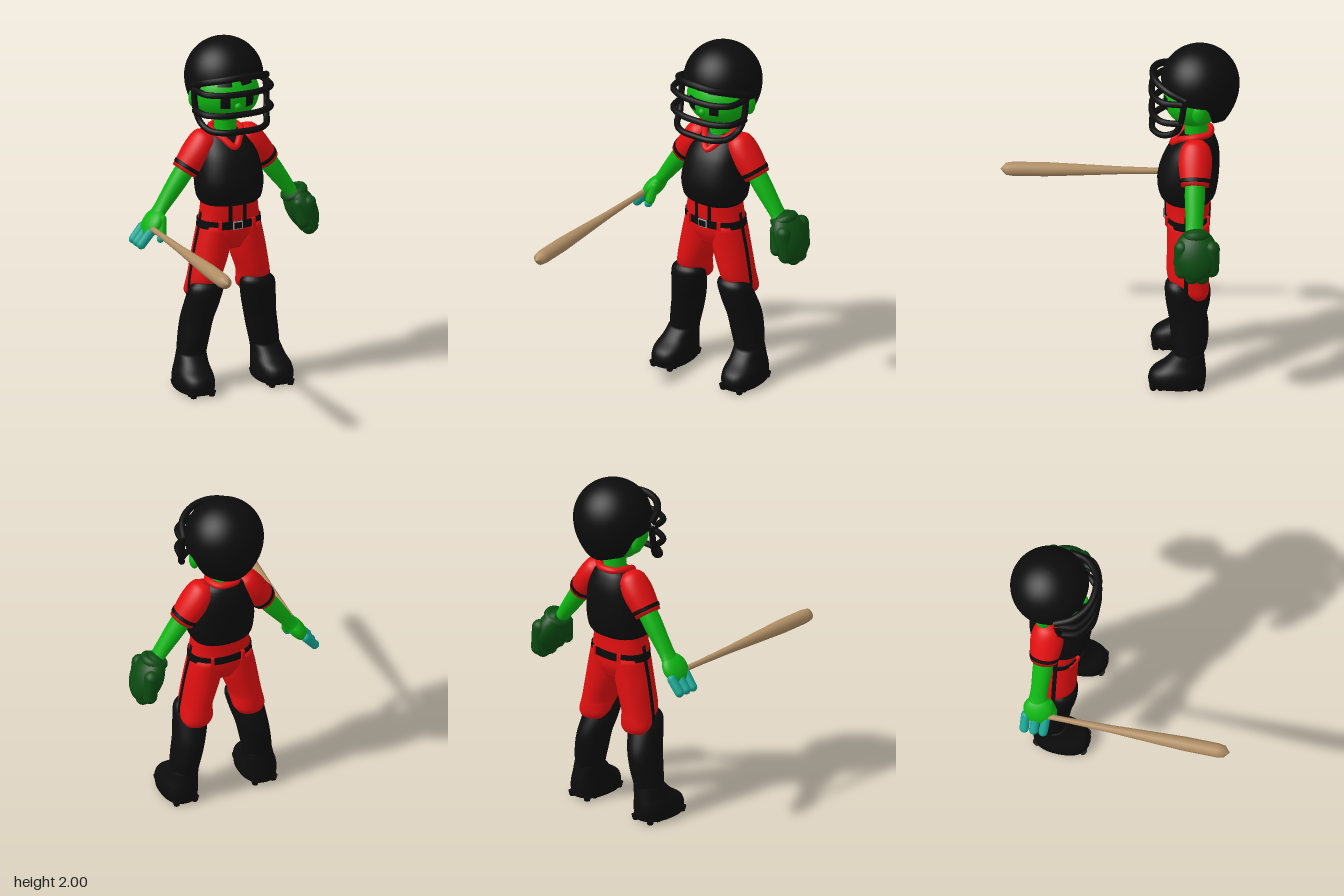
import * as THREE from 'three';

const mat = (name, color, side = THREE.FrontSide) => {
  const m = new THREE.MeshStandardMaterial({ color, side });
  m.name = name;
  return m;
};
const V = (x, y, z) => new THREE.Vector3(x, y, z);

export function createModel() {
  const black = mat('black', 0x0c0c0c), shell = mat('black', 0x0c0c0c, THREE.DoubleSide);
  shell.name = 'helmetBlack';
  const red = mat('red', 0xe00f10), green = mat('green', 0x0db512), gloveGreen = mat('gloveGreen', 0x0b4a11);
  const teal = mat('teal', 0x16a391), wood = mat('wood', 0xb08e64), silver = mat('silver', 0xa0a0a0);

  const root = new THREE.Group();
  const body = new THREE.Group();
  body.name = 'player';
  body.position.x = -0.015;
  root.add(body);

  const add = (parent, name, geo, material, p = [0, 0, 0]) => {
    const m = new THREE.Mesh(geo, material);
    m.name = name;
    m.position.set(...p);
    parent.add(m);
    return m;
  };

  // Closed-around surface from rings, listed top to bottom
  const grid = (fn, nu, nv) => {
    const pos = [], idx = [];
    for (let i = 0; i <= nu; i++)
      for (let j = 0; j < nv; j++) pos.push(...fn(i, (j / nv) * Math.PI * 2));
    for (let i = 0; i < nu; i++)
      for (let j = 0; j < nv; j++) {
        const a = i * nv + j, b = i * nv + (j + 1) % nv;
        idx.push(a, b, a + nv, b, b + nv, a + nv);
      }
    const g = new THREE.BufferGeometry();
    g.setAttribute('position', new THREE.Float32BufferAttribute(pos, 3));
    g.setIndex(idx);
    g.computeVertexNormals();
    return g;
  };

  // Rings: [y, cx, cz, rx, rz]; e < 1 makes the section boxier
  const loft = (rings, e = 1, nv = 32) => {
    const centre = new THREE.CatmullRomCurve3(rings.map(r => V(r[1], r[0], r[2])), false, 'catmullrom');
    const radius = new THREE.CatmullRomCurve3(rings.map(r => V(r[3], 0, r[4])), false, 'catmullrom');
    const n = (rings.length - 1) * 5;
    const pw = v => Math.sign(v) * Math.abs(v) ** e;
    return grid((i, a) => {
      const t = Math.min(Math.max((i - 1) / n, 0), 1);
      const c = centre.getPoint(t), r = radius.getPoint(t);
      const k = i === 0 || i === n + 2 ? 0 : 1;
      return [c.x + k * r.x * pw(Math.cos(a)), c.y, c.z + k * r.z * pw(Math.sin(a))];
    }, n + 2, nv);
  };

  const ball = (parent, name, material, p, r) => {
    const m = add(parent, name, new THREE.SphereGeometry(1, 32, 20), material, p);
    m.scale.set(...r);
    return m;
  };
  const capsule = (parent, name, material, a, b, r) => {
    const p = V(...a), d = V(...b).sub(p);
    const m = add(parent, name, new THREE.CapsuleGeometry(r, d.length(), 6, 14), material);
    m.position.copy(p).addScaledVector(d, 0.5);
    m.quaternion.setFromUnitVectors(V(0, 1, 0), d.normalize());
    return m;
  };
  const tube = (name, pts, r, material, closed = false) =>
    add(body, name, new THREE.TubeGeometry(new THREE.CatmullRomCurve3(pts.map(p => V(...p)), closed), 48, r, 10, closed), material);
  // Half a path given from the middle outwards, mirrored to both sides
  const both = half => [...half.slice(1).reverse().map(([x, y, z]) => [-x, y, z]), ...half];

  // Head and neck
  const headAt = [0, 1.69, -0.42];
  ball(body, 'head', green, headAt, [0.188, 0.16, 0.172]);
  add(body, 'neck', new THREE.CylinderGeometry(0.06, 0.066, 0.2, 24), green, [0, 1.52, -0.43]);
  const patch = (name, x, theta, w, h) => {
    const g = new THREE.SphereGeometry(1.02, 10, 8, Math.PI / 2 + x - w / 2, w, theta - h / 2, h);
    add(body, name, g, black, headAt).scale.set(0.188, 0.16, 0.172);
  };
  for (const s of [-1, 1]) {
    patch('eye', s * 0.4, 1.6, 0.3, 0.5);
    patch('eyebrow', s * 0.42, 1.0, 0.5, 0.16);
    ball(body, 'ear', green, [s * 0.185, 1.67, -0.45], [0.025, 0.055, 0.038]);
  }
  ball(body, 'nose', green, [0, 1.655, -0.25], [0.02, 0.02, 0.018]);

  // Helmet shell with an open face and raised ear line
  const rim = [[0, 1.815], [0.9, 1.79], [1.2, 1.73], [1.75, 1.72], [2.05, 1.6], [3.15, 1.565]];
  const rimY = az => {
    const k = Math.max(1, rim.findIndex(r => r[0] >= az));
    const [a0, y0] = rim[k - 1], [a1, y1] = rim[k];
    return THREE.MathUtils.lerp(y0, y1, THREE.MathUtils.smoothstep(az, a0, a1));
  };
  add(body, 'helmet', grid((i, a) => {
    const e = rimY(Math.acos(THREE.MathUtils.clamp(Math.sin(a), -1, 1)));
    const y = 2 - (2 - e) * (1 - Math.cos((i / 24) * Math.PI / 2));
    const r = y > 1.78 ? Math.sqrt(Math.max(0, 0.0484 - (y - 1.78) ** 2)) : 0.22 - 0.08 * ((1.78 - y) / 0.22) ** 2;
    return [r * Math.cos(a), y, -0.45 + r * Math.sin(a)];
  }, 24, 72), shell);

  // Brim and face cage
  tube('brim', both([[0, 1.845, -0.19], [0.1, 1.835, -0.21], [0.18, 1.81, -0.28], [0.215, 1.77, -0.38]]), 0.02, black);
  for (const y of [1.75, 1.63])
    tube('cageBar', both([[0, y, -0.183], [0.11, y, -0.195], [0.195, y, -0.25], [0.218, y, -0.36]]), 0.018, black);
  tube('lowerCageBar', both([[0, 1.53, -0.185], [0.1, 1.53, -0.195], [0.17, 1.535, -0.25], [0.2, 1.57, -0.32], [0.215, 1.64, -0.35], [0.218, 1.76, -0.37]]), 0.018, black);

  // Torso, collar and waist
  add(body, 'chestProtector', loft([
    [1.475, 0, -0.44, 0.085, 0.06], [1.44, 0, -0.435, 0.125, 0.095], [1.35, 0, -0.41, 0.165, 0.147],
    [1.21, 0, -0.385, 0.19, 0.17], [1.11, 0, -0.382, 0.182, 0.158], [1.075, 0, -0.385, 0.165, 0.135]], 0.85), black);
  tube('collar', [[0, 1.4, -0.298], [0.05, 1.445, -0.345], [0.085, 1.475, -0.42], [0.05, 1.48, -0.5],
    [-0.05, 1.48, -0.5], [-0.085, 1.475, -0.42], [-0.05, 1.445, -0.345]], 0.019, red, true);
  add(body, 'hips', loft([
    [1.1, 0, -0.38, 0.16, 0.12], [1.03, 0, -0.38, 0.167, 0.12], [0.95, 0, -0.383, 0.18, 0.12],
    [0.88, 0, -0.385, 0.18, 0.115], [0.81, 0, -0.385, 0.1, 0.085]], 0.9), red);
  add(body, 'belt', loft([[0.98, 0, -0.383, 0.183, 0.125], [0.935, 0, -0.383, 0.187, 0.125]], 0.9), black);
  for (const [x, z, ry] of [[0.1, -0.274, 0.35], [-0.1, -0.274, -0.35], [0.09, -0.495, -0.3], [-0.09, -0.495, 0.3]])
    add(body, 'beltLoop', new THREE.BoxGeometry(0.02, 0.055, 0.022), red, [x, 0.957, z]).rotation.y = ry;
  add(body, 'buckle', new THREE.BoxGeometry(0.055, 0.045, 0.009), silver, [0, 0.957, -0.256]);
  add(body, 'buckleCentre', new THREE.BoxGeometry(0.045, 0.035, 0.009), black, [0, 0.957, -0.253]);

  for (const s of [-1, 1]) {
    add(body, 'frontStrap', new THREE.BoxGeometry(0.018, 0.11, 0.009), black, [s * 0.043, 1.025, -0.26]);

    // Trousers with a side stripe
    const leg = new THREE.Group();
    leg.name = s > 0 ? 'leftLeg' : 'rightLeg';
    body.add(leg);
    const side = rings => rings.map(([y, x, ...r]) => [y, s * x, ...r]);
    add(leg, 'trouserLeg', loft(side([
      [0.95, 0.09, -0.385, 0.088, 0.113], [0.8, 0.108, -0.385, 0.104, 0.115], [0.65, 0.145, -0.387, 0.092, 0.115],
      [0.6, 0.152, -0.405, 0.092, 0.1], [0.555, 0.157, -0.43, 0.09, 0.075], [0.525, 0.16, -0.445, 0.07, 0.05]])), red);
    add(leg, 'sideStripe', loft(side([
      [1.02, 0.169, -0.38, 0.006, 0.012], [0.95, 0.18, -0.38, 0.006, 0.012], [0.8, 0.212, -0.38, 0.006, 0.012],
      [0.65, 0.237, -0.38, 0.006, 0.012], [0.58, 0.243, -0.38, 0.006, 0.012]]), 1, 10), black);

    // Shin guard and shoe with cleats
    add(leg, 'shinGuard', loft(side([
      [0.63, 0.15, -0.335, 0.07, 0.05], [0.59, 0.155, -0.34, 0.1, 0.08], [0.5, 0.17, -0.365, 0.098, 0.1],
      [0.4, 0.19, -0.392, 0.09, 0.108], [0.3, 0.207, -0.397, 0.087, 0.102], [0.2, 0.222, -0.395, 0.083, 0.085],
      [0.12, 0.23, -0.395, 0.08, 0.08]])), black);
    add(leg, 'shoe', loft(side([
      [0.21, 0.222, -0.395, 0.08, 0.083], [0.15, 0.23, -0.37, 0.088, 0.115], [0.105, 0.236, -0.34, 0.1, 0.15],
      [0.06, 0.238, -0.33, 0.105, 0.16], [0.015, 0.238, -0.33, 0.1, 0.155]]), 0.85), black);
    for (const z of [-0.46, -0.4, -0.3, -0.24, -0.2])
      for (const dx of [-0.055, 0.055])
        add(leg, 'cleat', new THREE.CylinderGeometry(0.024, 0.016, 0.03, 10), black, [s * 0.238 + dx, 0.015, z]);

    // Arm, built hanging down and swung outwards
    const arm = new THREE.Group();
    arm.name = s > 0 ? 'leftArm' : 'rightArm';
    arm.position.set(s * 0.14, 1.41, -0.43);
    arm.rotation.z = s * 0.62;
    body.add(arm);
    add(arm, 'sleeve', loft([
      [0.07, 0, 0, 0.035, 0.04], [0.03, 0, 0, 0.07, 0.078], [-0.06, 0, 0, 0.078, 0.093], [-0.19, 0, 0, 0.071, 0.077]]), red);
    add(arm, 'sleeveStripe', loft([[-0.148, 0, 0, 0.077, 0.087], [-0.17, 0, 0, 0.076, 0.084]]), black);
    add(arm, 'forearm', loft([
      [-0.14, 0, 0, 0.055, 0.055], [-0.25, 0, 0, 0.052, 0.056], [-0.36, 0, 0, 0.044, 0.05], [-0.44, 0, 0, 0.036, 0.05],
      [-0.49, 0, 0, 0.036, 0.06]]), green);

    if (s > 0) {
      // Padded catching glove with rounded finger lobes
      const glove = new THREE.Group();
      glove.name = 'glove';
      glove.position.set(-0.01, -0.58, -0.012);
      glove.rotation.z = -0.2;
      arm.add(glove);
      ball(glove, 'glovePad', gloveGreen, [0, 0.01, 0], [0.082, 0.15, 0.122]);
      for (const [z, len] of [[-0.085, 0.07], [-0.032, 0.11], [0.022, 0.11], [0.075, 0.08]])
        capsule(glove, 'gloveFinger', gloveGreen, [0.03, 0.05, z * 1.05], [-0.012, -len, z], 0.043);
      capsule(glove, 'gloveThumb', gloveGreen, [-0.02, 0.07, 0.07], [-0.045, -0.03, 0.09], 0.038);
      const cuff = add(glove, 'gloveCuff', new THREE.TorusGeometry(0.055, 0.025, 10, 24), gloveGreen, [0, 0.115, 0]);
      cuff.rotation.x = Math.PI / 2;
    } else {
      // Bare hand with coloured fingers
      ball(arm, 'palm', green, [0, -0.525, 0.01], [0.045, 0.09, 0.085]);
      for (const z of [-0.055, 0.002, 0.058])
        capsule(arm, 'finger', teal, [-0.006, -0.575, z], [-0.012, -0.66, z * 0.95], 0.026);
      capsule(arm, 'thumb', green, [0.01, -0.48, 0.06], [0.045, -0.55, 0.085], 0.027);
      ball(arm, 'thumbTip', teal, [0.053, -0.573, 0.09], [0.022, 0.025, 0.022]);
    }
  }

  // Bat held forwards
  const profile = [[0, -0.42], [0.022, -0.42], [0.022, -0.4], [0.016, -0.38], [0.016, -0.25], [0.022, 0], [0.033, 0.25],
    [0.04, 0.42], [0.04, 0.6], [0.034, 0.64], [0, 0.67]].map(p => new THREE.Vector2(...p));
  add(root, 'bat', new THREE.LatheGeometry(profile, 20), wood, [-0.485, 0.967, 0]).rotation.x = Math.PI / 2;

  return root;
}
